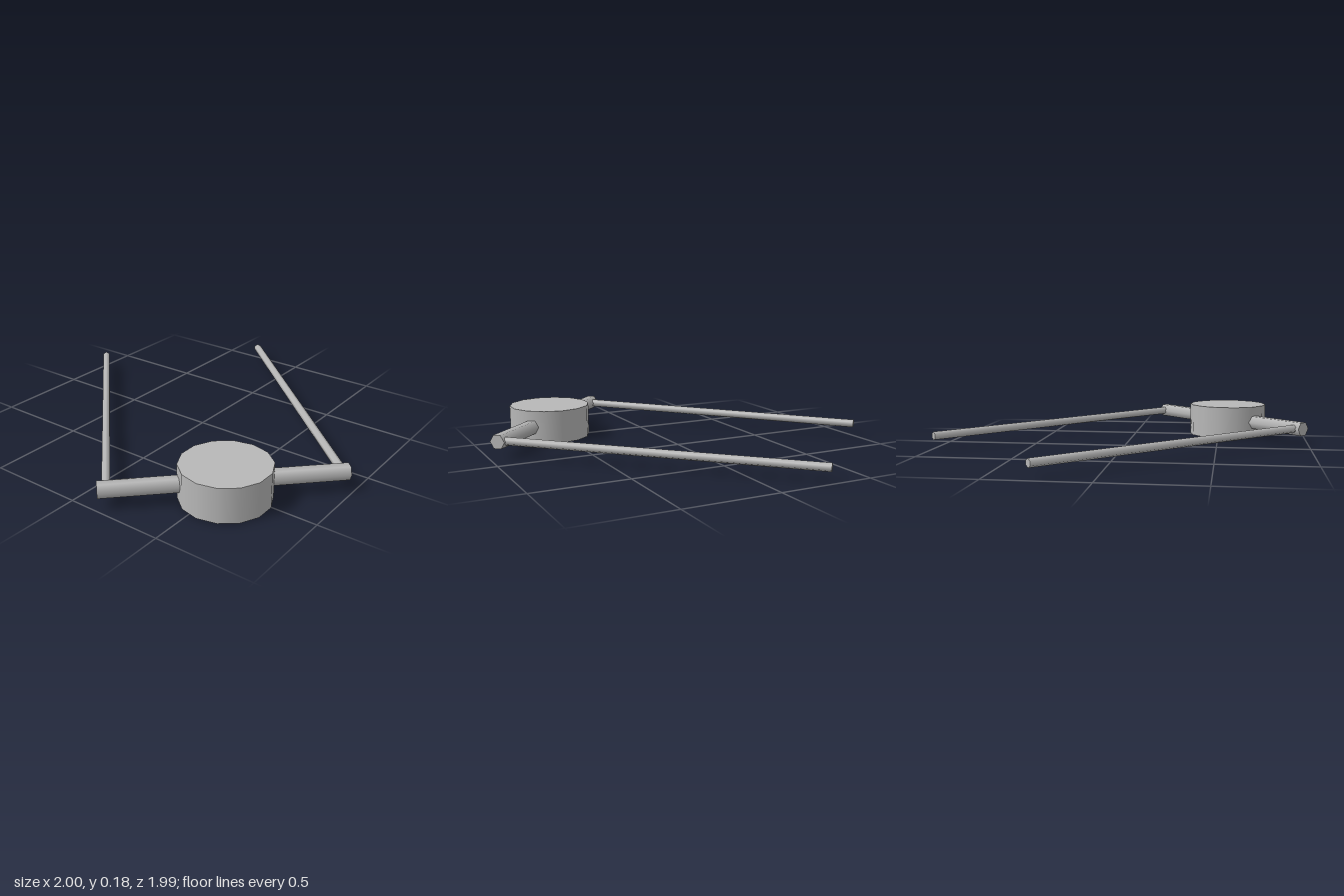
import * as THREE from 'three';

const UP = new THREE.Vector3(0, 1, 0);

// Closed prism-like bar running between two points; spin turns its section about its length
function barBetween(name, a, b, radius, sides, spin, material) {
  const dir = b.clone().sub(a);
  const geometry = new THREE.CylinderGeometry(radius, radius, dir.length(), sides);
  geometry.rotateY(spin);
  dir.normalize();
  const side = dir.clone().cross(UP).normalize();
  const top = side.clone().cross(dir);
  const mesh = new THREE.Mesh(geometry, material);
  mesh.name = name;
  mesh.quaternion.setFromRotationMatrix(new THREE.Matrix4().makeBasis(side, dir, top));
  mesh.position.copy(a).add(b).multiplyScalar(0.5);
  return mesh;
}

export function createModel() {
  const model = new THREE.Group();
  model.name = 'discWithArms';
  const grey = new THREE.MeshStandardMaterial({ color: 0xb8b8b8 });
  grey.name = 'plain grey';

  // Fourteen-sided disc standing on the ground
  const disc = new THREE.Mesh(new THREE.CylinderGeometry(0.224, 0.224, 0.18, 14), grey);
  disc.name = 'disc';
  disc.rotation.y = Math.PI / 2;
  disc.position.set(-0.553, 0.09, 0.547);
  model.add(disc);

  // Hexagonal crossbar through the disc, flat side up
  model.add(barBetween('crossbar',
    new THREE.Vector3(-0.969, 0.09, 0.131), new THREE.Vector3(-0.138, 0.09, 0.962),
    0.041, 6, Math.PI / 2, grey));

  // Two thin arms, mirrored across the diagonal, leaning together and dipping slightly
  const start = new THREE.Vector3(-0.94, 0.091, 0.16);
  const end = new THREE.Vector3(0.285, 0.075, -0.985);
  const mirror = (p) => new THREE.Vector3(-p.z, p.y, -p.x);
  model.add(barBetween('rightArm', start, end, 0.022, 6, 0, grey));
  model.add(barBetween('leftArm', mirror(start), mirror(end), 0.022, 6, 0, grey));

  return model;
}
